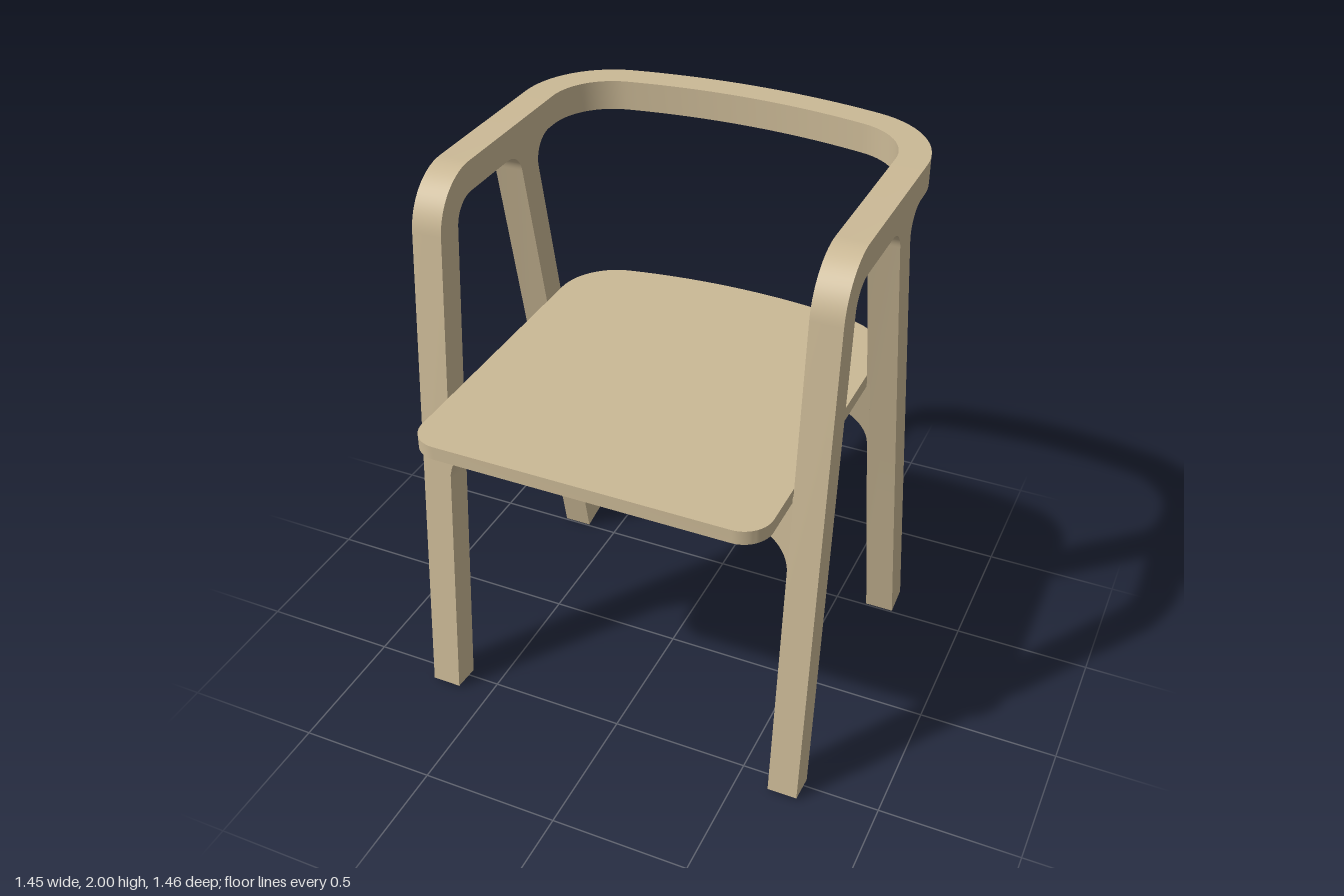
import * as THREE from 'three';
import { toCreasedNormals } from 'three/addons/utils/BufferGeometryUtils.js';

const INNER = 0.62, OUTER = 0.727, THICK = 0.105, TOP = 2;

// Polygon from [x, y, radius]; corners with a radius are filleted.
function roundedShape(points) {
  const shape = new THREE.Shape();
  const n = points.length;
  points.forEach(([x, y, r = 0], i) => {
    const p = new THREE.Vector2(x, y);
    const dir = (q) => new THREE.Vector2(q[0], q[1]).sub(p).normalize();
    const move = (v) => (i === 0 ? shape.moveTo(v.x, v.y) : shape.lineTo(v.x, v.y));
    if (!r) return move(p);
    const a = dir(points[(i + n - 1) % n]), b = dir(points[(i + 1) % n]);
    const turn = Math.PI - Math.acos(a.dot(b));
    const reach = r * Math.tan(turn / 2);
    const near = reach - (4 / 3) * Math.tan(turn / 4) * r;
    const at = (d, t) => p.clone().addScaledVector(d, t);
    const s = at(a, reach), c1 = at(a, near), c2 = at(b, near), e = at(b, reach);
    move(s);
    shape.bezierCurveTo(c1.x, c1.y, c2.x, c2.y, e.x, e.y);
  });
  return shape;
}

// Plan curve of the back, from +x to -x: tight corner, shallow arc, tight corner.
function backCurve(r) {
  const cx = 0.397, cz = -0.36, angle = 1.37, steps = 14;
  const bigZ = cz + cx * Math.tan(angle), bigR = r + cx / Math.cos(angle);
  const half = [];
  for (let i = 0; i <= steps; i++) {
    const t = (angle * i) / steps;
    half.push([cx + r * Math.cos(t), cz - r * Math.sin(t)]);
  }
  for (let i = 1; i <= steps; i++) {
    const t = angle + ((Math.PI / 2 - angle) * i) / steps;
    half.push([bigR * Math.cos(t), bigZ - bigR * Math.sin(t)]);
  }
  const mirrored = half.slice(0, -1).reverse().map(([x, z]) => [-x, z]);
  return [...half, ...mirrored];
}

function extrude(shape, depth) {
  return new THREE.ExtrudeGeometry(shape, { depth, bevelEnabled: false, curveSegments: 14 });
}

export function createModel() {
  const model = new THREE.Group();
  model.name = 'armchair';
  const wood = new THREE.MeshStandardMaterial({ color: 0xcbb996 });
  wood.name = 'pale wood';

  const add = (name, geometry, x = 0, y = 0, z = 0) => {
    const mesh = new THREE.Mesh(toCreasedNormals(geometry, 0.5), wood);
    mesh.name = name;
    mesh.position.set(x, y, z);
    model.add(mesh);
    return mesh;
  };

  // Side frames: front leg, armrest and back leg in one profile (z, y)
  const under = TOP - THICK;
  const side = roundedShape([
    [0.575, 0.01], [0.398, TOP, 0.2], [-0.36, TOP], [-0.36, under],
    [-0.2124, under, 0.088], [-0.61, 0.022], [-0.507, 0],
    [-0.1047, under, 0.095], [0.3015, under, 0.095], [0.47, 0],
  ]);
  const sideGeometry = extrude(side, OUTER - INNER).rotateY(-Math.PI / 2);
  add('leftSideFrame', sideGeometry, OUTER);
  add('rightSideFrame', sideGeometry, -INNER);

  // Curved back rail joining the armrests
  const rail = roundedShape([...backCurve(0.33), ...backCurve(0.223).reverse()]);
  add('backRail', extrude(rail, THICK).rotateX(Math.PI / 2), 0, TOP, 0);

  // Seat panel: curved back, rounded front corners
  const seat = roundedShape([...backCurve(0.221), [-0.618, 0.73, 0.1], [0.618, 0.73, 0.1]]);
  add('seat', extrude(seat, 0.05).rotateX(Math.PI / 2), 0, 1.24, 0);

  // Arched crossbars under the seat, tilted with the legs
  const bar = (low, high) => {
    const w = INNER + 0.01;
    return extrude(roundedShape([
      [w, high], [-w, high], [-w, 0.9], [-INNER, 0.9],
      [-INNER, low, 0.15], [INNER, low, 0.15], [INNER, 0.9], [w, 0.9],
    ]), THICK);
  };
  add('frontCrossbar', bar(1.069, 1.205), 0, 0, 0.47).rotation.x = -0.0887;
  const back = add('backCrossbar', bar(1.085, 1.23), 0, 0, -0.507);
  back.rotation.set(-0.2092, Math.PI, 0, 'YXZ');

  return model;
}
